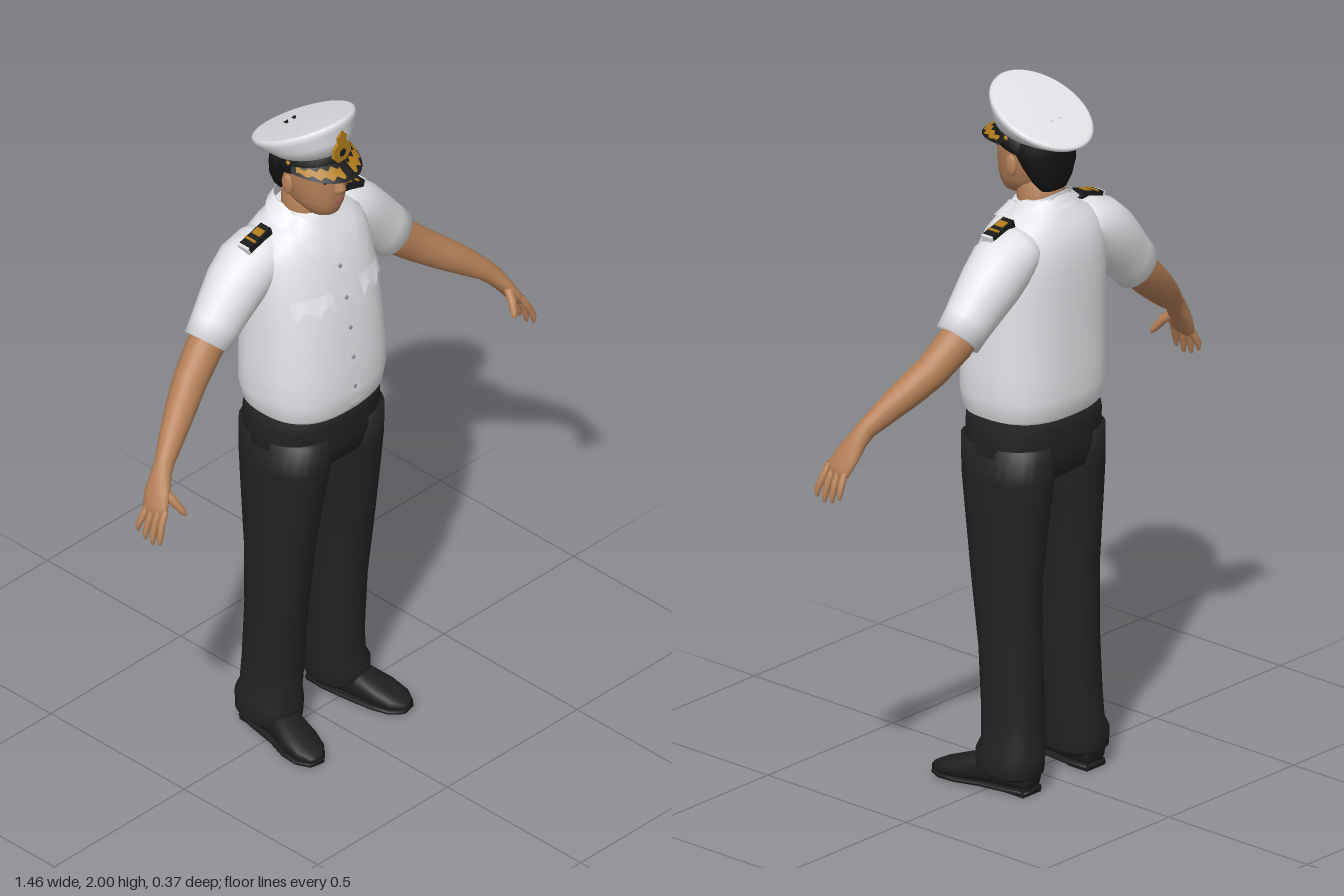
import * as THREE from 'three';
import { ParametricGeometry } from 'three/addons/geometries/ParametricGeometry.js';

const V = (x, y, z) => new THREE.Vector3(x, y, z);
const mat = (name, color, side = THREE.FrontSide) => {
  const m = new THREE.MeshStandardMaterial({ color, side });
  m.name = name;
  return m;
};

// Closed skin over rings { c, u, v }; n is the superellipse exponent
function loft(rings, n = 2, seg = 28) {
  const pos = [], idx = [];
  const pw = (t) => Math.sign(t) * Math.abs(t) ** (2 / n);
  for (const { c, u, v } of rings) {
    for (let j = 0; j < seg; j++) {
      const a = (j / seg) * Math.PI * 2;
      const p = c.clone().addScaledVector(u, pw(Math.cos(a))).addScaledVector(v, pw(Math.sin(a)));
      pos.push(p.x, p.y, p.z);
    }
  }
  const last = rings.length - 1, bottom = rings.length * seg, top = bottom + 1;
  for (const r of [rings[0], rings[last]]) pos.push(r.c.x, r.c.y, r.c.z);
  for (let j = 0; j < seg; j++) {
    const k = (j + 1) % seg;
    for (let i = 0; i < last; i++) {
      const a = i * seg + j, b = i * seg + k;
      idx.push(a, b, b + seg, a, b + seg, a + seg);
    }
    idx.push(bottom, k, j, top, last * seg + j, last * seg + k);
  }
  const g = new THREE.BufferGeometry();
  g.setAttribute('position', new THREE.Float32BufferAttribute(pos, 3));
  g.setIndex(idx);
  g.computeVertexNormals();
  return g;
}

// Tilted level rings: [yFront, zFront, yBack, zBack, halfWidth, cx]
const tilted = (rows, n, seg) => loft(rows.map(([yf, zf, yb, zb, hw, cx = 0]) => ({
  c: V(cx, (yf + yb) / 2, (zf + zb) / 2), u: V(0, (yf - yb) / 2, (zf - zb) / 2), v: V(hw, 0, 0),
})), n, seg);
// Level rings: [y, halfWidth, zFront, zBack, cx]
const stack = (rows, n, seg) => tilted(rows.map(([y, hw, zf, zb, cx]) => [y, zf, y, zb, hw, cx]), n, seg);
// Rings along a path: [x, y, z, radiusAcross, radiusAlongRef], x mirrored by s
function limb(rows, s, ref = V(0, 0, 1), n = 2, seg = 20) {
  const pts = rows.map(([x, y, z]) => V(x * s, y, z));
  return loft(pts.map((c, i) => {
    const t = pts[Math.min(i + 1, pts.length - 1)].clone().sub(pts[Math.max(i - 1, 0)]).normalize();
    const v = ref.clone().addScaledVector(t, -ref.dot(t)).normalize();
    const u = v.clone().cross(t);
    return { c, u: u.multiplyScalar(rows[i][3]), v: v.multiplyScalar(rows[i][4]) };
  }), n, seg);
}

const TORSO = [
  [1.065, 0.18, 0.135, -0.145], [1.085, 0.195, 0.15, -0.163], [1.14, 0.207, 0.157, -0.172],
  [1.22, 0.207, 0.153, -0.17], [1.32, 0.203, 0.142, -0.17], [1.42, 0.2, 0.128, -0.172],
  [1.5, 0.197, 0.108, -0.172], [1.56, 0.19, 0.09, -0.168], [1.6, 0.175, 0.072, -0.155],
  [1.63, 0.14, 0.055, -0.14], [1.655, 0.09, 0.04, -0.122], [1.675, 0.07, 0.03, -0.11],
];
// Depth of the shirt surface at (x, y), front (1) or back (-1)
function shirtZ(x, y, side = 1) {
  let i = 0;
  while (i < TORSO.length - 2 && TORSO[i + 1][0] < y) i++;
  const a = TORSO[i], b = TORSO[i + 1];
  const t = THREE.MathUtils.clamp((y - a[0]) / (b[0] - a[0]), 0, 1);
  const [, hw, zf, zb] = a.map((q, k) => q + (b[k] - q) * t);
  const k = Math.max(0, 1 - (Math.abs(x) / hw) ** 2.5) ** 0.4;
  return (zf + zb) / 2 + side * k * (zf - zb) / 2;
}

export function createModel() {
  const model = new THREE.Group();
  const white = mat('white cloth', 0xe2e4e7, THREE.DoubleSide);
  const trouser = mat('trouser black', 0x222223);
  const black = mat('cap black', 0x1b1b1b, THREE.DoubleSide);
  const leather = mat('shoe leather', 0x1e1e1f);
  const skin = mat('skin', 0xb58058);
  const gold = mat('gold thread', 0xb07c1c, THREE.DoubleSide);
  const hairMat = mat('hair', 0x151414);
  const lip = mat('lips', 0x8e5847);
  const grey = mat('button grey', 0x9a9c9f);
  const add = (name, geo, material, parent = model) => {
    const m = new THREE.Mesh(geo, material);
    m.name = name;
    parent.add(m);
    return m;
  };
  const ball = (name, material, p, r) => {
    const m = add(name, new THREE.SphereGeometry(1, 16, 10), material);
    m.position.set(...p);
    m.scale.set(...r);
  };

  // Shirt body, placket and buttons
  add('shirt', stack(TORSO, 2.5, 48), white);
  add('placket', new ParametricGeometry((u, v, p) => {
    const x = -0.018 + 0.036 * u, y = 1.08 + 0.53 * v;
    p.set(x, y, shirtZ(x, y) + 0.003);
  }, 2, 24), white);
  for (let i = 0; i < 5; i++) {
    const y = 1.16 + i * 0.092;
    const b = add('button', new THREE.CylinderGeometry(0.006, 0.006, 0.005, 10), grey);
    b.rotation.x = Math.PI / 2;
    b.position.set(-0.006, y, shirtZ(0, y) + 0.004);
  }

  // Folded collar with two points
  add('collar', new ParametricGeometry((u, v, p) => {
    const a = 0.2 + u * (Math.PI * 2 - 0.4), c = Math.cos(a);
    const d = Math.min(a, Math.PI * 2 - a);
    const drop = 0.035 + 0.065 * Math.max(0, 1 - Math.abs(d - 0.72) / 0.4);
    const x = Math.sin(a) * (0.07 + 0.045 * v), y = 1.685 - 0.03 * c - drop * v;
    let z = -0.035 + c * (0.075 + 0.02 * v);
    if (c > 0.25) z = Math.max(z, shirtZ(x, y) + 0.008);
    if (c < -0.25) z = Math.min(z, shirtZ(x, y, -1) - 0.006);
    p.set(x, y, z);
  }, 60, 8), white);

  // Trouser hips
  add('trouserHips', stack([
    [0.88, 0.09, 0.07, -0.1], [0.91, 0.175, 0.122, -0.145], [0.97, 0.198, 0.134, -0.155],
    [1.04, 0.198, 0.136, -0.157], [1.095, 0.19, 0.138, -0.15],
  ], 2.5, 40), trouser);

  // Head
  add('neck', stack([[1.6, 0.07, 0.03, -0.1], [1.68, 0.063, 0.03, -0.1], [1.76, 0.063, 0.03, -0.1]]), skin);
  add('head', stack([
    [1.68, 0.025, 0.068, 0.0], [1.69, 0.044, 0.08, -0.02], [1.715, 0.063, 0.088, -0.06],
    [1.735, 0.072, 0.091, -0.085], [1.77, 0.082, 0.092, -0.103], [1.81, 0.088, 0.089, -0.108],
    [1.84, 0.089, 0.088, -0.108], [1.88, 0.08, 0.08, -0.1],
  ], 2.2, 36), skin);
  add('nose', stack([
    [1.76, 0.011, 0.098, 0.075], [1.769, 0.019, 0.111, 0.07], [1.783, 0.015, 0.117, 0.07],
    [1.807, 0.009, 0.102, 0.07], [1.832, 0.008, 0.093, 0.07],
  ], 2, 16), skin);
  add('hair', stack([
    [1.715, 0.045, -0.06, -0.103], [1.74, 0.066, -0.045, -0.11], [1.78, 0.086, -0.02, -0.115],
    [1.82, 0.094, 0.012, -0.117], [1.86, 0.095, 0.04, -0.116],
  ], 2.4, 32), hairMat);
  ball('upperLip', lip, [0, 1.738, 0.09], [0.025, 0.004, 0.008]);
  ball('lowerLip', lip, [0, 1.731, 0.089], [0.02, 0.004, 0.008]);

  // Cap: dark band, flared white crown, peak, gold leaves and badge
  add('capBand', tilted([
    [1.848, 0.094, 1.805, -0.115, 0.098], [1.905, 0.097, 1.855, -0.12, 0.101],
  ], 2, 48), black);
  add('capCrown', tilted([
    [1.9, 0.099, 1.845, -0.122, 0.103], [1.94, 0.1, 1.845, -0.145, 0.122],
    [1.978, 0.103, 1.848, -0.17, 0.136], [1.992, 0.104, 1.854, -0.181, 0.139],
    [1.999, 0.099, 1.861, -0.179, 0.136], [2.0, 0.09, 1.866, -0.172, 0.13],
  ], 2, 56), white);
  const peak = (lift) => (a, t, p) => p.set(
    Math.sin(a) * (0.098 + 0.012 * t), 1.858 + 0.01 * Math.cos(a) - t * (0.012 + 0.022 * Math.cos(a)) + lift,
    -0.01 + Math.cos(a) * (0.104 + 0.055 * t) + lift * 0.6);
  const onPeak = peak(0), overPeak = peak(0.003);
  add('capPeak', new ParametricGeometry((u, v, p) => onPeak(-1.4 + 2.8 * u, v, p), 40, 5), black);
  for (const s of [-1, 1]) {
    add('peakLeaves', new ParametricGeometry((u, v, p) => {
      const wave = 0.1 * Math.sin(u * Math.PI * 8);
      overPeak(s * (0.14 + 1.14 * u), 0.22 + wave + 0.55 * v, p);
    }, 48, 3), gold);
    ball('capButton', gold, [s * 0.099, 1.865, 0.0], [0.006, 0.007, 0.007]);
    const mark = add('crownMark', new THREE.CircleGeometry(0.01, 3), black);
    mark.rotation.set(-Math.PI / 2 + 0.47, 0, -Math.PI / 2);
    mark.position.set(s * 0.015, 1.912, -0.088);
  }
  const crest = new THREE.Shape([
    [-0.016, 0], [0.016, 0], [0.033, 0.02], [0.03, 0.045], [0.015, 0.062], [0.017, 0.08], [0.007, 0.09],
    [0, 0.1], [-0.007, 0.09], [-0.017, 0.08], [-0.015, 0.062], [-0.03, 0.045], [-0.033, 0.02],
  ].map(([x, y]) => new THREE.Vector2(x, y)));
  const badge = add('capBadge', new THREE.ExtrudeGeometry(crest, { depth: 0.009, bevelEnabled: false }), gold);
  badge.position.set(0, 1.874, 0.098);
  const badgeCentre = add('badgeCentre', new THREE.CircleGeometry(0.012, 16), black);
  badgeCentre.position.set(0, 1.902, 0.1085);

  for (const s of [-1, 1]) {
    // Face details
    ball('eye', hairMat, [s * 0.034, 1.806, 0.08], [0.012, 0.004, 0.005]);
    ball('eyebrow', hairMat, [s * 0.035, 1.824, 0.08], [0.018, 0.004, 0.005]);
    ball('ear', skin, [s * 0.091, 1.785, -0.01], [0.01, 0.032, 0.019]);

    // Chest pocket flap with a curved lower edge
    add('pocketFlap', new ParametricGeometry((u, v, p) => {
      const x = s * (0.052 + 0.115 * u), low = 1.425 - 0.012 * Math.cos(u * Math.PI * 4);
      const y = 1.47 + (low - 1.47) * v;
      p.set(x, y, shirtZ(x, y) + 0.002 + 0.007 * v);
    }, 20, 4), white);

    // Short sleeve, bare arm and hand
    add('sleeve', limb([
      [0.09, 1.57, -0.062, 0.06, 0.075], [0.14, 1.565, -0.063, 0.074, 0.085], [0.19, 1.54, -0.065, 0.088, 0.088],
      [0.235, 1.5, -0.066, 0.088, 0.083], [0.28, 1.455, -0.063, 0.082, 0.074], [0.32, 1.413, -0.06, 0.076, 0.066],
      [0.357, 1.375, -0.057, 0.073, 0.061],
    ], s, undefined, 2, 28), white);
    add('arm', limb([
      [0.3, 1.42, -0.06, 0.055, 0.05], [0.37, 1.36, -0.055, 0.055, 0.05], [0.44, 1.3, -0.037, 0.05, 0.046],
      [0.5, 1.255, -0.012, 0.046, 0.042], [0.56, 1.21, 0.015, 0.039, 0.035], [0.615, 1.165, 0.04, 0.029, 0.027],
      [0.64, 1.138, 0.05, 0.026, 0.03], [0.665, 1.102, 0.061, 0.021, 0.04], [0.687, 1.065, 0.074, 0.016, 0.042],
      [0.695, 1.045, 0.08, 0.011, 0.037],
    ], s), skin);
    for (let i = 0; i < 4; i++) {
      const z = 0.05 + i * 0.02, tip = [0.99, 0.975, 0.97, 0.98][i], zt = 0.042 + i * 0.027;
      add('finger', limb([
        [0.686, 1.07, z, 0.01, 0.01], [0.708, 1.03, (z + zt) / 2, 0.0105, 0.0105],
        [0.719, tip + 0.02, zt, 0.009, 0.009], [0.72, tip, zt, 0.004, 0.004],
      ], s, undefined, 2, 10), skin);
    }
    add('thumb', limb([
      [0.66, 1.11, 0.08, 0.013, 0.013], [0.65, 1.08, 0.11, 0.013, 0.013],
      [0.638, 1.053, 0.13, 0.01, 0.01], [0.633, 1.042, 0.136, 0.004, 0.004],
    ], s, undefined, 2, 10), skin);

    // Shoulder board
    const board = new THREE.Group();
    board.name = 'shoulderBoard';
    board.position.set(s * 0.178, 1.633, -0.045);
    board.rotation.z = -s * 0.28;
    model.add(board);
    const slab = (name, material, x, y, w, h, d) =>
      add(name, new THREE.BoxGeometry(w, h, d), material, board).position.set(s * x, y, 0);
    slab('boardBase', black, 0, 0, 0.088, 0.022, 0.038);
    slab('boardTip', white, 0.046, 0, 0.008, 0.022, 0.038);
    slab('boardEmblem', gold, -0.014, 0.012, 0.024, 0.004, 0.028);
    slab('boardStripe', gold, 0.018, 0.012, 0.007, 0.004, 0.0385);

    // Trouser leg with a loose hem
    add('trouserLeg', stack([
      [0.045, 0.068, 0.035, -0.125, 0.128], [0.06, 0.078, 0.054, -0.138, 0.13], [0.11, 0.079, 0.056, -0.141, 0.128],
      [0.14, 0.072, 0.046, -0.132, 0.121], [0.22, 0.073, 0.048, -0.128, 0.116], [0.4, 0.074, 0.06, -0.12, 0.114],
      [0.6, 0.079, 0.085, -0.12, 0.115], [0.8, 0.09, 0.114, -0.139, 0.107], [0.9, 0.098, 0.128, -0.148, 0.101],
      [1.0, 0.097, 0.132, -0.15, 0.1],
    ].map(([y, hw, zf, zb, cx]) => [y, hw, zf, zb, cx * s]), 2.3, 28), trouser);

    // Shoe with sole and heel, toes turned slightly out
    const shoe = [
      [0.125, 0.045, -0.122, 0.034, 0.035], [0.13, 0.053, -0.06, 0.045, 0.046], [0.143, 0.05, 0.03, 0.048, 0.043],
      [0.16, 0.037, 0.1, 0.054, 0.031], [0.17, 0.028, 0.15, 0.047, 0.022], [0.177, 0.022, 0.183, 0.022, 0.012],
    ];
    add('shoe', limb(shoe, s, V(0, 1, 0), 2.4), leather);
    add('sole', limb(shoe.map(([x, , z, r]) => [x, 0.011, z, r + 0.003, 0.007]), s, V(0, 1, 0), 4), leather);
    const heel = add('heel', new THREE.BoxGeometry(0.072, 0.02, 0.07), leather);
    heel.position.set(s * 0.128, 0.01, -0.085);
  }
  return model;
}
